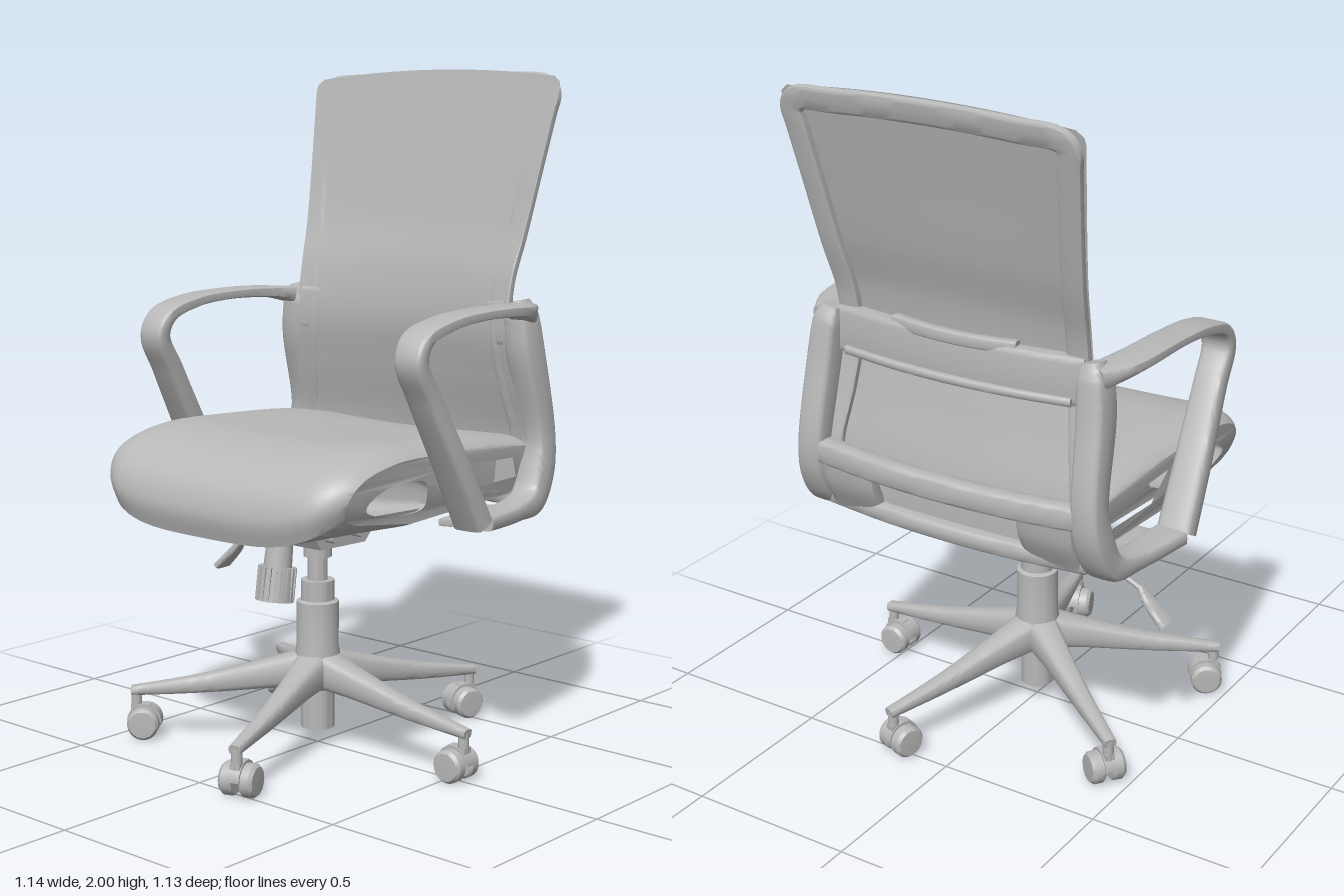
import * as THREE from 'three';
import { toCreasedNormals } from 'three/addons/utils/BufferGeometryUtils.js';

const grey = new THREE.MeshStandardMaterial({ color: 0xb8b8b8 });
grey.name = 'grey';
const thinGrey = grey.clone();
thinGrey.side = THREE.DoubleSide;
const V = (x, y, z) => new THREE.Vector3(x, y, z);

function add(parent, name, geometry, x = 0, y = 0, z = 0, material = grey) {
  const mesh = new THREE.Mesh(geometry, material);
  mesh.name = name;
  mesh.position.set(x, y, z);
  parent.add(mesh);
  return mesh;
}

// Solid bar with a rounded-rectangle section; rows are [x, y, z, half width along ref, half thickness]
function loft(rows, ref = V(1, 0, 0), steps = 40, round = 0.5) {
  const path = new THREE.CatmullRomCurve3(rows.map(r => V(r[0], r[1], r[2])));
  const size = new THREE.CatmullRomCurve3(rows.map(r => V(r[3], r[4], 0)));
  const N = 16, pos = [], idx = [];
  const bend = v => Math.sign(v) * Math.abs(v) ** round;
  for (let i = 0; i <= steps; i++) {
    const c = path.getPoint(i / steps), t = path.getTangent(i / steps), s = size.getPoint(i / steps);
    const side = ref.clone().addScaledVector(t, -ref.dot(t)).normalize();
    const up = t.clone().cross(side);
    for (let j = 0; j < N; j++) {
      const a = j / N * Math.PI * 2;
      const p = c.clone().addScaledVector(side, bend(Math.cos(a)) * s.x).addScaledVector(up, bend(Math.sin(a)) * s.y);
      pos.push(p.x, p.y, p.z);
      if (i < steps) {
        const k = (j + 1) % N, A = i * N + j, B = i * N + k;
        idx.push(A, B, A + N, B, B + N, A + N);
      }
    }
  }
  for (let j = 1; j < N - 1; j++) {
    const e = steps * N;
    idx.push(0, j + 1, j, e, e + j, e + j + 1);
  }
  const g = new THREE.BufferGeometry();
  g.setAttribute('position', new THREE.Float32BufferAttribute(pos, 3));
  g.setIndex(idx);
  return toCreasedNormals(g, 0.8);
}

// Seat: side profile extruded across x, then rounded off in plan and section
const spline = pts => new THREE.SplineCurve(pts.map(p => new THREE.Vector2(-p[0], p[1]))).getPoints(36);
function seatPart(x0, x1, steps, recess) {
  const top = spline([[0.475, 0.7], [0.49, 0.78], [0.455, 0.87], [0.37, 0.935], [0.22, 0.972], [0, 0.972], [-0.25, 0.96], [-0.43, 0.93]]);
  const shape = new THREE.Shape([...top, new THREE.Vector2(0.41, 0.73), new THREE.Vector2(-0.1, 0.7), new THREE.Vector2(-0.4, 0.7)]);
  shape.holes.push(new THREE.Path(spline([[0.05, 0.775], [0.06, 0.86], [0.12, 0.885], [0.24, 0.878], [0.33, 0.835], [0.365, 0.785], [0.33, 0.755], [0.2, 0.745], [0.08, 0.75], [0.05, 0.775]]).slice(1)));
  if (recess) shape.holes.push(new THREE.Path([[-0.1, 0.79], [-0.03, 0.91], [-0.36, 0.89], [-0.39, 0.8]].map(p => new THREE.Vector2(-p[0], p[1]))));
  const g = new THREE.ExtrudeGeometry(shape, { depth: x1 - x0, steps, bevelEnabled: false });
  g.translate(0, 0, x0).rotateY(Math.PI / 2);
  const p = g.attributes.position;
  for (let i = 0; i < p.count; i++) {
    const x = p.getX(i), y = p.getY(i), z = p.getZ(i);
    const u = Math.abs(x) / 0.47, s = THREE.MathUtils.clamp((y - 0.7) / 0.27, 0, 1);
    const front = Math.max(0, z / 0.49) ** 2;
    const wide = 0.95 + 0.045 * THREE.MathUtils.smoothstep(z, -0.4, 0.3) - 0.06 * (1 - s) ** 2;
    p.setXYZ(i, x * wide, y + (0.04 + 0.05 * front) * u ** 4 * (1 - s) - 0.045 * u ** 10 * s - 0.02 * (1 - u * u) * s,
      z - front * (0.02 * u * u + 0.075 * u ** 10));
  }
  return toCreasedNormals(g, 0.75);
}

// Backrest surface: u runs -1..1 across, t runs 0..1 upwards; curve stores half width, y, z
const backCurve = new THREE.CatmullRomCurve3([[0.45, 0.86, -0.465], [0.45, 0.95, -0.45], [0.425, 1.1, -0.415], [0.41, 1.25, -0.39],
  [0.41, 1.4, -0.405], [0.425, 1.55, -0.447], [0.447, 1.75, -0.492], [0.478, 2.0, -0.548]].map(p => V(...p)));
function backPoint(u, t, dz = 0) {
  const c = backCurve.getPoint(t), k = Math.max(0, (t - 0.975) / 0.025);
  const w = c.x - 0.03 * (1 - Math.sqrt(Math.max(0, 1 - k * k)));
  return V(u * w, c.y - 0.025 * u * u * t, c.z + (0.035 - 0.022 * t) * u * u + dz);
}

function buildBack(group) {
  const skin = new THREE.PlaneGeometry(2, 1, 24, 100), p = skin.attributes.position;
  for (let i = 0; i < p.count; i++) {
    const q = backPoint(p.getX(i), p.getY(i) + 0.5);
    p.setXYZ(i, q.x, q.y, q.z);
  }
  skin.computeVertexNormals();
  add(group, 'backrestSkin', skin, 0, 0, 0, thinGrey);

  // Rim behind the skin
  const sides = [0, 0.14, 0.28, 0.42, 0.56, 0.7, 0.84, 0.94, 0.965];
  const uv = [...sides.map(t => [-0.92, t]), ...[-0.87, -0.6, -0.3, 0, 0.3, 0.6, 0.87].map(u => [u, 0.98]),
    ...sides.slice().reverse().map(t => [0.92, t])];
  const rim = uv.map(([u, t]) => [...backPoint(u, t, -0.014).toArray(), 0.013, 0.034]);
  add(group, 'backrestRim', loft(rim, V(0, 0.25, 1), 120, 0.4));

  // Bars across the back; dip moves the middle backwards
  const bar = (name, half, y, z, dip, depth, height) => add(group, name,
    loft([-1, -0.5, 0, 0.5, 1].map(u => [u * half, y, z - dip * (1 - u * u), depth, height]), V(0, 0, 1), 24, 0.35));
  bar('lumbarBar', 0.4, 1.26, -0.39, 0.035, 0.024, 0.07);
  bar('lumbarRidge', 0.37, 1.205, -0.41, 0.035, 0.02, 0.012);
  bar('lumbarTab', 0.2, 1.325, -0.415, 0.025, 0.016, 0.018);
  bar('rearUpperBar', 0.45, 0.905, -0.47, 0.042, 0.03, 0.035);
  bar('rearLowerBar', 0.43, 0.745, -0.41, 0.035, 0.035, 0.026);
  bar('rearInnerPanel', 0.43, 0.82, -0.42, 0.015, 0.01, 0.08);
  for (const s of [-1, 1])
    add(group, 'rearBarEnd', loft([[s * 0.33, 0.9, -0.485, 0.09, 0.025], [s * 0.33, 0.82, -0.47, 0.09, 0.025], [s * 0.33, 0.74, -0.43, 0.09, 0.025]]));
}

// Arm loop, upright post and lower rail of one side
function buildSide(group, s) {
  const m = rows => rows.map(([x, ...r]) => [x * s, ...r]);
  const side = new THREE.Group();
  side.name = s > 0 ? 'leftArm' : 'rightArm';
  group.add(side);
  add(side, 'armLoop', loft(m([[0.443, 1.29, -0.42, 0.035, 0.03], [0.482, 1.308, -0.3, 0.052, 0.018], [0.495, 1.312, -0.1, 0.05, 0.015],
    [0.497, 1.297, 0.05, 0.05, 0.017], [0.495, 1.262, 0.15, 0.05, 0.02], [0.497, 1.205, 0.178, 0.047, 0.026],
    [0.5, 1.1, 0.125, 0.045, 0.031], [0.51, 0.9, 0.015, 0.05, 0.033], [0.515, 0.725, -0.08, 0.053, 0.035]]), V(1, 0, 0), 70, 0.4));
  add(side, 'post', loft(m([[0.425, 1.325, -0.4, 0.028, 0.03], [0.435, 1.28, -0.405, 0.04, 0.045], [0.445, 1.18, -0.415, 0.043, 0.05],
    [0.458, 0.93, -0.465, 0.043, 0.042], [0.465, 0.83, -0.45, 0.045, 0.045], [0.472, 0.745, -0.4, 0.045, 0.04], [0.49, 0.725, -0.28, 0.045, 0.025],
    [0.512, 0.725, -0.1, 0.053, 0.022]]), V(1, 0, 0), 60, 0.4));
  add(side, 'armBracket', loft(m([[0.37, 0.708, -0.23, 0.14, 0.012], [0.48, 0.715, -0.24, 0.14, 0.014]]), V(0, 0, 1), 2, 0.2));
  for (const z of [-0.15, -0.32])
    add(side, 'bracketScrew', new THREE.CylinderGeometry(0.014, 0.014, 0.016, 12), s * 0.43, 0.698, z);
}

function buildMechanism(group) {
  add(group, 'seatPlate', new THREE.BoxGeometry(0.28, 0.04, 0.36), 0, 0.68, -0.06);
  const cheek = new THREE.Shape([[-0.2, 0.69], [-0.19, 0.645], [-0.08, 0.64], [-0.06, 0.605], [0.14, 0.6], [0.18, 0.64], [0.31, 0.645], [0.33, 0.69]].map(p => new THREE.Vector2(...p)));
  const block = new THREE.ExtrudeGeometry(cheek, { depth: 0.13, bevelEnabled: false }).translate(0, 0, -0.065).rotateY(Math.PI / 2);
  add(group, 'tiltHousing', block);
  for (const z of [0.03, -0.09])
    add(group, 'pivotPin', new THREE.CylinderGeometry(0.015, 0.015, 0.2, 16).rotateZ(Math.PI / 2), 0, 0.64, z);

  // Ribbed tension knob on a slanted shaft
  const knob = new THREE.Group();
  knob.name = 'tensionKnob';
  knob.position.set(-0.01, 0.515, 0.17);
  knob.rotation.x = -0.14;
  group.add(knob);
  add(knob, 'knobBody', new THREE.CylinderGeometry(0.05, 0.055, 0.1, 32));
  add(knob, 'knobShaft', new THREE.CylinderGeometry(0.038, 0.042, 0.12, 24), 0, 0.1, 0);
  for (let i = 0; i < 18; i++) {
    const a = i / 18 * Math.PI * 2;
    add(knob, 'knobRib', new THREE.BoxGeometry(0.008, 0.1, 0.01), Math.sin(a) * 0.052, 0, Math.cos(a) * 0.052).rotation.y = a;
  }

  // Height lever on the right
  const rod = new THREE.CatmullRomCurve3([V(-0.06, 0.635, -0.1), V(-0.15, 0.615, -0.1), V(-0.38, 0.55, -0.11), V(-0.43, 0.53, -0.115)]);
  add(group, 'leverRod', new THREE.TubeGeometry(rod, 24, 0.008, 8));
  add(group, 'leverPaddle', loft([[-0.42, 0.54, -0.113, 0.012, 0.01], [-0.45, 0.505, -0.117, 0.022, 0.012], [-0.515, 0.445, -0.12, 0.034, 0.012]], V(0, 0, 1), 16));
}

function buildBase(group) {
  const profile = [[0, 0.05], [0.05, 0.05], [0.05, 0.17], [0.065, 0.18], [0.068, 0.27], [0.063, 0.3], [0.063, 0.435], [0.05, 0.44], [0.05, 0.5],
    [0.03, 0.5], [0.03, 0.57], [0.042, 0.57], [0.042, 0.61], [0, 0.61]];
  add(group, 'gasColumn', toCreasedNormals(new THREE.LatheGeometry(profile.map(p => new THREE.Vector2(...p)), 36), 0.6));
  for (let i = 0; i < 5; i++) {
    const leg = new THREE.Group();
    leg.name = 'baseLeg';
    leg.rotation.y = -i * Math.PI * 2 / 5;
    group.add(leg);
    add(leg, 'legBeam', loft([[0.02, 0.232, 0, 0.055, 0.058], [0.15, 0.208, 0, 0.041, 0.043], [0.35, 0.171, 0, 0.028, 0.027], [0.565, 0.142, 0, 0.018, 0.014]], V(0, 0, 1), 24, 0.6));
    // Twin-wheel caster
    add(leg, 'casterStem', new THREE.CylinderGeometry(0.016, 0.016, 0.07, 16), 0.55, 0.115, 0);
    add(leg, 'casterFork', new THREE.BoxGeometry(0.06, 0.055, 0.03), 0.535, 0.075, 0);
    const hood = new THREE.CylinderGeometry(0.052, 0.052, 0.036, 24, 1, false, 0, Math.PI).rotateX(Math.PI / 2).rotateZ(Math.PI / 2);
    add(leg, 'casterHood', hood, 0.525, 0.052, 0, thinGrey);
    for (const s of [-1, 1]) {
      const wheel = new THREE.LatheGeometry([[0, -0.02], [0.042, -0.02], [0.048, -0.014], [0.048, 0.01], [0.04, 0.02], [0, 0.022]].map(p => new THREE.Vector2(...p)), 28);
      add(leg, 'casterWheel', toCreasedNormals(wheel.rotateX(s * Math.PI / 2), 0.6), 0.525, 0.048, s * 0.032);
    }
  }
}

export function createModel() {
  const chair = new THREE.Group();
  chair.name = 'officeChair';
  add(chair, 'seatCentre', seatPart(-0.37, 0.37, 24, false));
  add(chair, 'seatLeftEdge', seatPart(0.37, 0.47, 12, true));
  add(chair, 'seatRightEdge', seatPart(-0.47, -0.37, 12, true));
  buildBack(chair);
  buildSide(chair, 1);
  buildSide(chair, -1);
  buildMechanism(chair);
  buildBase(chair);
  return chair;
}
